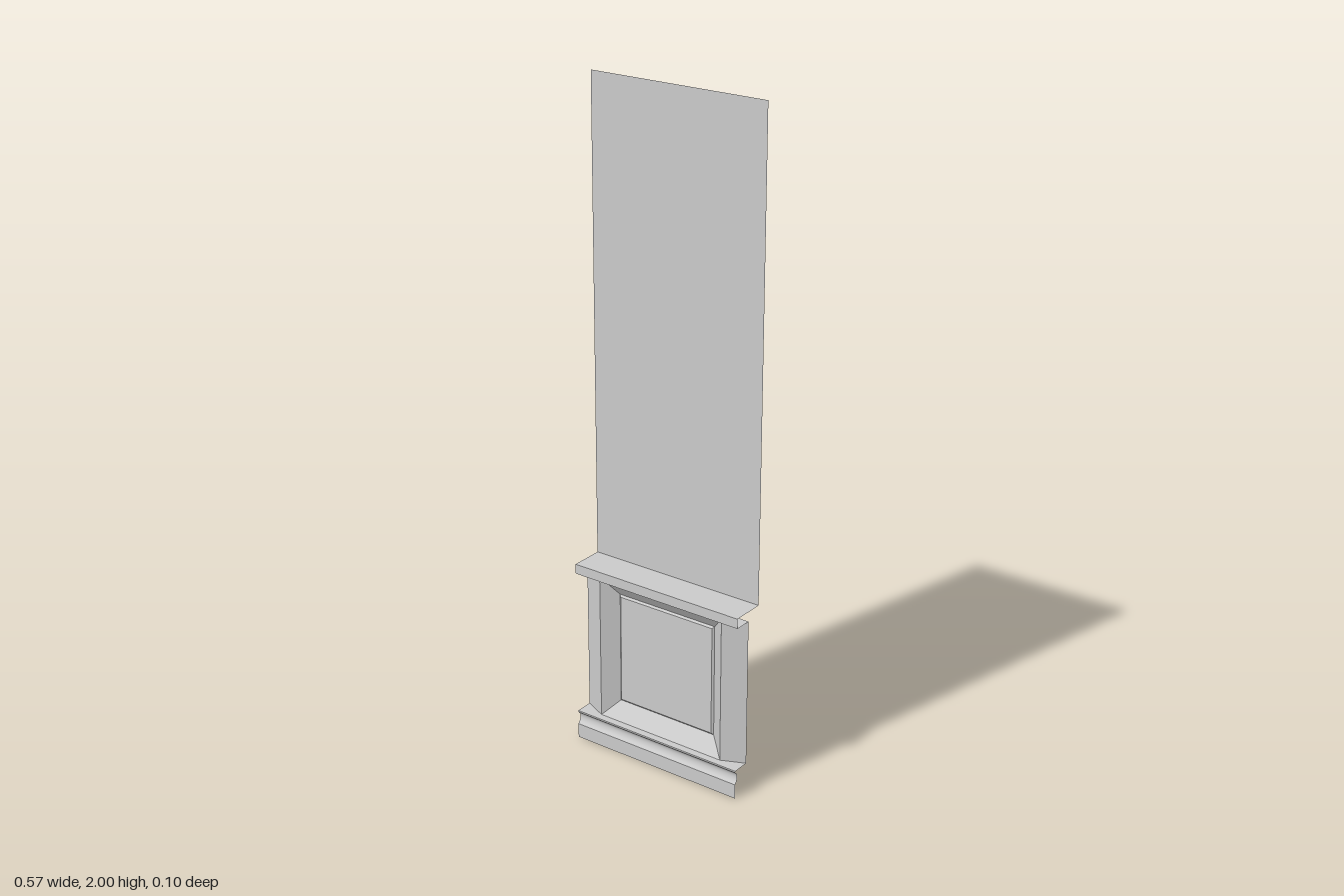
import * as THREE from 'three';

const HALF = 0.285;      // half width of the wall section
const WALL_Z = -0.053;   // upper wall plane
const EDGE_Z = -0.005;   // outer edge of the stiles
const RIDGE_Z = 0.026;   // raised edge between stile and bevel
const FRONT_Z = 0.049;   // front of the mouldings
const LOW = 0.09, HIGH = 0.545, RAIL_TOP = 0.575;

const material = new THREE.MeshStandardMaterial({ color: 0xcccccc, side: THREE.DoubleSide });

// Open surface through rows of [x, y, z] points
function sheet(name, rows, smooth = false) {
  const n = rows[0].length;
  const index = [];
  for (let r = 0; r < rows.length - 1; r++) {
    for (let c = 0; c < n - 1; c++) {
      const a = r * n + c, b = a + 1, d = a + n, e = d + 1;
      index.push(a, d, e, a, e, b);
    }
  }
  let geometry = new THREE.BufferGeometry();
  geometry.setAttribute('position', new THREE.Float32BufferAttribute(rows.flat(2), 3));
  geometry.setIndex(index);
  if (!smooth) geometry = geometry.toNonIndexed();
  geometry.computeVertexNormals();
  const mesh = new THREE.Mesh(geometry, material);
  mesh.name = name;
  return mesh;
}

// Profile of [y, z] points, top to bottom, swept across the full width
const sweep = (name, profile, smooth) =>
  sheet(name, profile.map(([y, z]) => [[-HALF, y, z], [HALF, y, z]]), smooth);

// Closed rectangular ring at one depth
const ring = (x, y0, y1, z) =>
  [[-x, y0, z], [-x, y1, z], [x, y1, z], [x, y0, z], [-x, y0, z]];

export function createModel() {
  const group = new THREE.Group();

  group.add(sweep('upperWall', [[2, WALL_Z], [RAIL_TOP, WALL_Z]]));

  // Projecting rail: top, front lip, underside
  group.add(sweep('chairRail', [
    [RAIL_TOP, WALL_Z], [RAIL_TOP, FRONT_Z], [HIGH, FRONT_Z], [HIGH, EDGE_Z],
  ]));

  // Slanted stiles either side of the panel
  group.add(sheet('rightStile', [HIGH, LOW].map((y) => [[-HALF, y, EDGE_Z], [-0.215, y, RIDGE_Z]])));
  group.add(sheet('leftStile', [HIGH, LOW].map((y) => [[0.215, y, RIDGE_Z], [HALF, y, EDGE_Z]])));

  // Bevel sloping inward, then a small step up to the panel
  group.add(sheet('panelBevel', [
    ring(0.215, LOW, HIGH, RIDGE_Z),
    ring(0.168, 0.14, 0.49, -0.009),
    ring(0.162, 0.146, 0.484, -0.004),
  ]));
  const panel = new THREE.Mesh(new THREE.PlaneGeometry(0.324, 0.338), material);
  panel.name = 'panel';
  panel.position.set(0, 0.315, -0.004);
  group.add(panel);

  // Skirting: flat top with lip, hollow cove, flat board
  group.add(sweep('skirtingTop', [[LOW, EDGE_Z], [LOW, FRONT_Z], [0.085, FRONT_Z]]));
  const cove = new THREE.CatmullRomCurve3([
    [0.085, FRONT_Z], [0.077, 0.041], [0.067, 0.039], [0.055, 0.042], [0.045, FRONT_Z],
  ].map(([y, z]) => new THREE.Vector3(0, y, z)));
  group.add(sweep('skirtingCove', cove.getPoints(12).map((p) => [p.y, p.z]), true));
  group.add(sweep('skirtingBoard', [[0.045, FRONT_Z], [0, FRONT_Z]]));

  return group;
}
